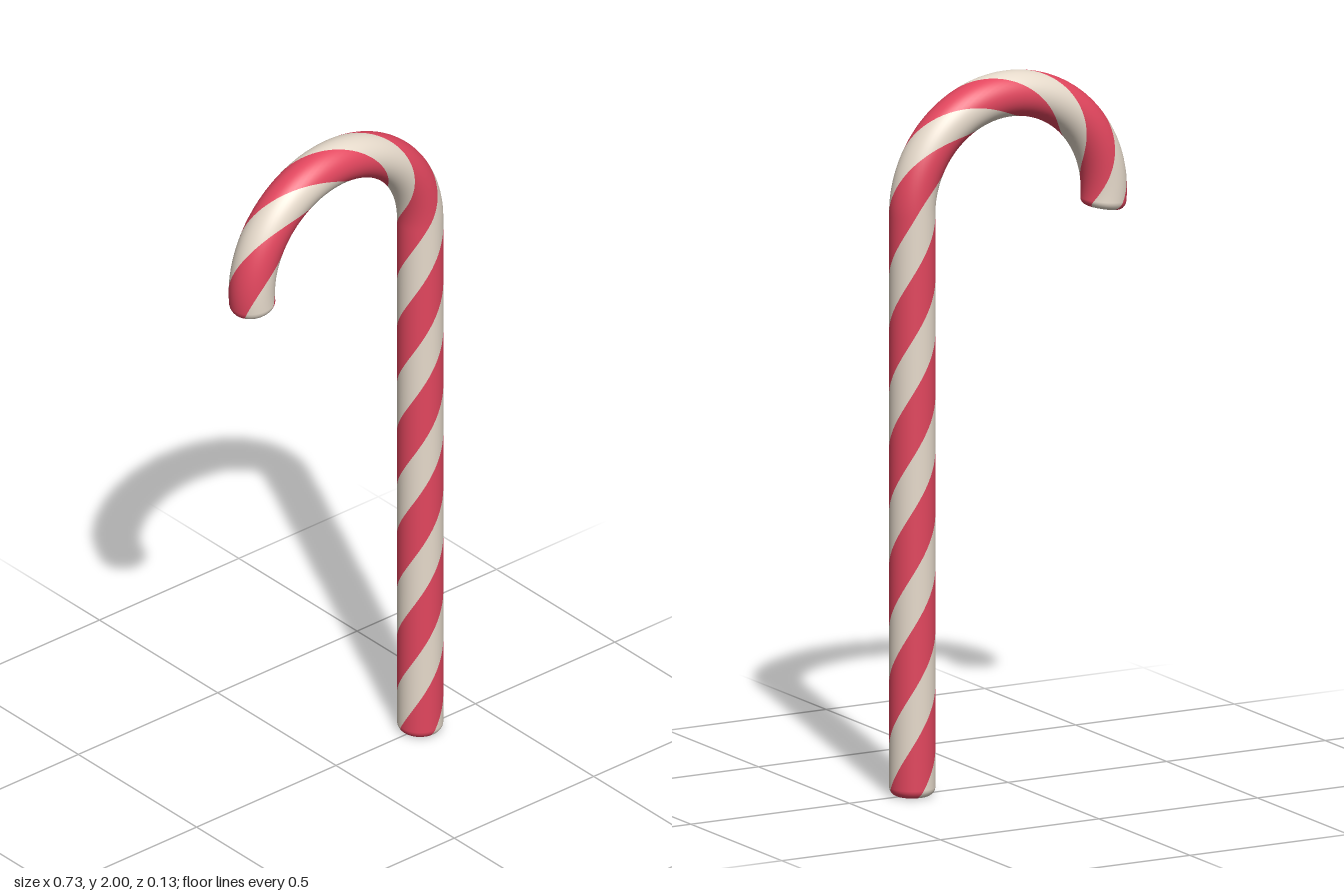
import * as THREE from 'three';
import { ParametricGeometry } from 'three/addons/geometries/ParametricGeometry.js';

const R = 0.0635;            // cane thickness (radius)
const BEVEL = 0.024;         // rounding of both ends
const HOOK = 0.302;          // hook radius
const SHAFT = 1.6345;        // straight length
const LENGTH = SHAFT + HOOK * THREE.MathUtils.degToRad(190);
const PITCH = 0.66;          // length of one full twist
const WHITE_CENTRE = 2.093;  // where a white stripe crosses the outer side
const WHITE_SHARE = 0.46;
const SLICES = 220, END_SLICES = 6;

// Centre line: straight shaft, then the hook; "out" points to the outer side.
function frame(s) {
  if (s <= SHAFT) return { x: HOOK, y: s, ox: 1, oy: 0 };
  const a = (s - SHAFT) / HOOK;
  const ox = Math.cos(a), oy = Math.sin(a);
  return { x: HOOK * ox, y: SHAFT + HOOK * oy, ox, oy };
}

// Length and radius along the cane, with quarter-round ends.
function station(v) {
  const k = END_SLICES / SLICES;
  const end = Math.min(v, 1 - v);
  if (end < k) {
    const t = (end / k) * Math.PI / 2;
    const d = BEVEL * (1 - Math.cos(t));
    return { s: v < 0.5 ? d : LENGTH - d, r: R - BEVEL + BEVEL * Math.sin(t) };
  }
  return { s: BEVEL + (LENGTH - 2 * BEVEL) * (v - k) / (1 - 2 * k), r: R };
}

// One twisted ribbon of the cane surface.
function ribbon(centre, width) {
  return new ParametricGeometry((u, v, target) => {
    const { s, r } = station(v);
    const f = frame(s);
    const phi = 2 * Math.PI * (WHITE_CENTRE - s) / PITCH + centre + width * (0.5 - u);
    const c = r * Math.cos(phi);
    target.set(f.x + f.ox * c, f.y + f.oy * c, r * Math.sin(phi));
  }, 10, SLICES);
}

export function createModel() {
  const group = new THREE.Group();
  const red = new THREE.MeshStandardMaterial({ color: 0xe2465e });
  red.name = 'candyRed';
  const white = new THREE.MeshStandardMaterial({ color: 0xe6dacb });
  white.name = 'creamWhite';

  const add = (name, geometry, material) => {
    const mesh = new THREE.Mesh(geometry, material);
    mesh.name = name;
    group.add(mesh);
    return mesh;
  };

  // Two white and two red stripes wind around the cane.
  for (let i = 0; i < 2; i++) {
    add('whiteStripe', ribbon(i * Math.PI, Math.PI * WHITE_SHARE), white);
    add('redStripe', ribbon((i + 0.5) * Math.PI, Math.PI * (1 - WHITE_SHARE)), red);
  }

  // Flat end faces.
  const endFace = (name, s, sign, material) => {
    const f = frame(s);
    const face = add(name, new THREE.CircleGeometry(R - BEVEL, 32), material);
    face.position.set(f.x, f.y, 0);
    face.quaternion.setFromUnitVectors(
      new THREE.Vector3(0, 0, 1),
      new THREE.Vector3(-f.oy * sign, f.ox * sign, 0));
  };
  endFace('shaftEnd', 0, -1, white);
  endFace('hookEnd', LENGTH, 1, red);

  return group;
}
